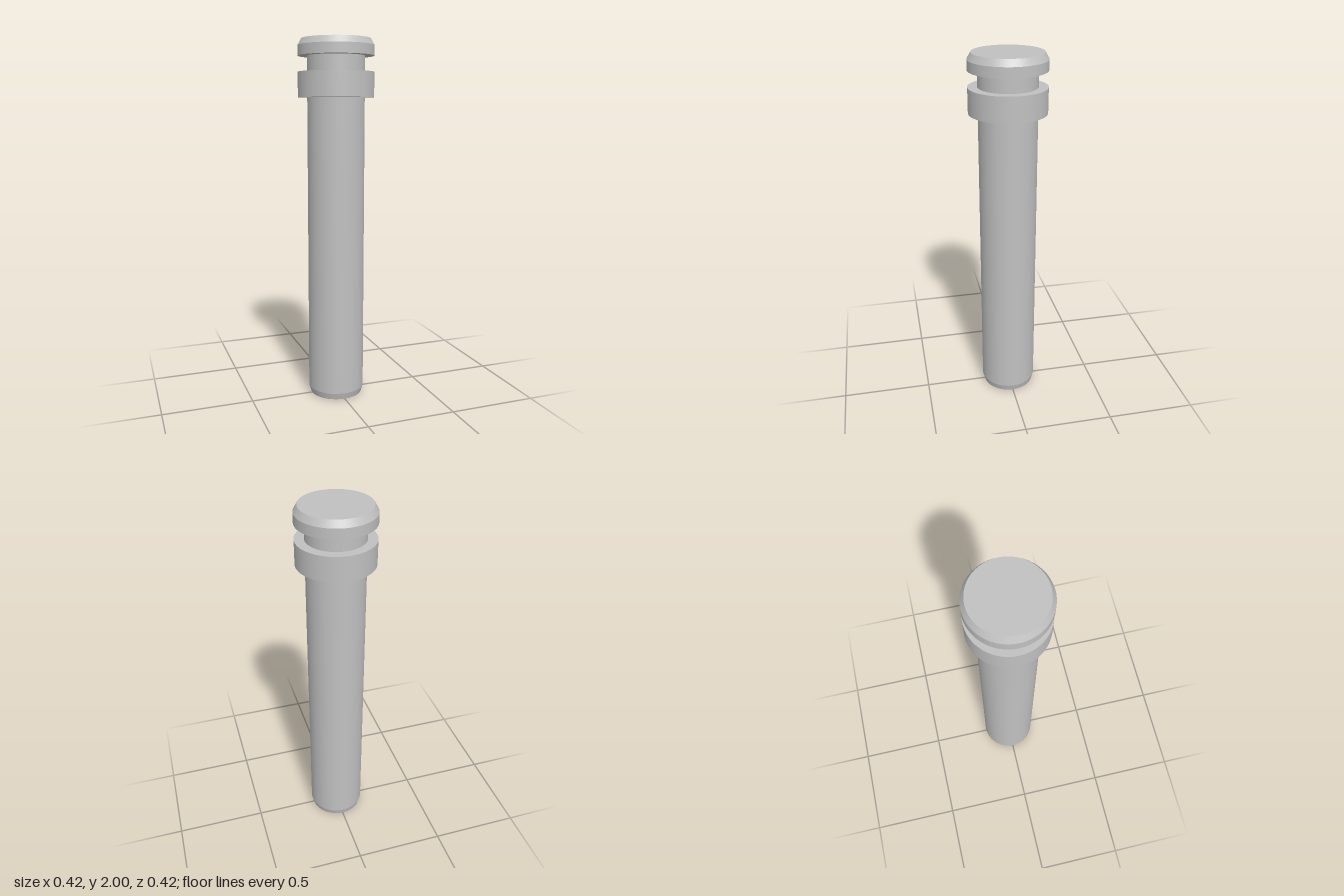
import * as THREE from 'three';
import { mergeGeometries } from 'three/addons/utils/BufferGeometryUtils.js';

const SIDES = 64;

// Turned solid: each profile segment is its own lathe, so rims stay sharp and walls smooth
function turned(name, profile, material) {
  const bands = [];
  for (let i = 0; i < profile.length - 1; i++) {
    const ends = [profile[i], profile[i + 1]].map(([r, y]) => new THREE.Vector2(r, y));
    bands.push(new THREE.LatheGeometry(ends, SIDES));
  }
  const mesh = new THREE.Mesh(mergeGeometries(bands), material);
  mesh.name = name;
  return mesh;
}

export function createModel() {
  const steel = new THREE.MeshStandardMaterial({ color: 0xc0c0c0 });
  steel.name = 'steel grey';

  const shaftR = 0.157, flangeR = 0.208, holeR = 0.048;
  const collarBottom = 1.69, collarTop = 1.825, headBottom = 1.91;

  const pin = new THREE.Group();
  pin.name = 'pin';

  // Shaft with a tapered foot and a blind drilled hole in its end
  pin.add(turned('shaft', [
    [0, 0.33], [holeR, 0.3], [holeR, 0], [0.147, 0], [shaftR, 0.037], [shaftR, collarBottom],
  ], steel));

  // Plain collar
  pin.add(turned('collar', [
    [shaftR, collarBottom], [flangeR, collarBottom], [flangeR, collarTop], [shaftR, collarTop],
  ], steel));

  // Groove floor between collar and head
  pin.add(turned('neck', [[shaftR, collarTop], [shaftR, headBottom]], steel));

  // Head with a chamfered upper rim
  pin.add(turned('head', [
    [shaftR, headBottom], [flangeR, headBottom], [flangeR, 1.965], [0.188, 2], [0, 2],
  ], steel));

  return pin;
}
